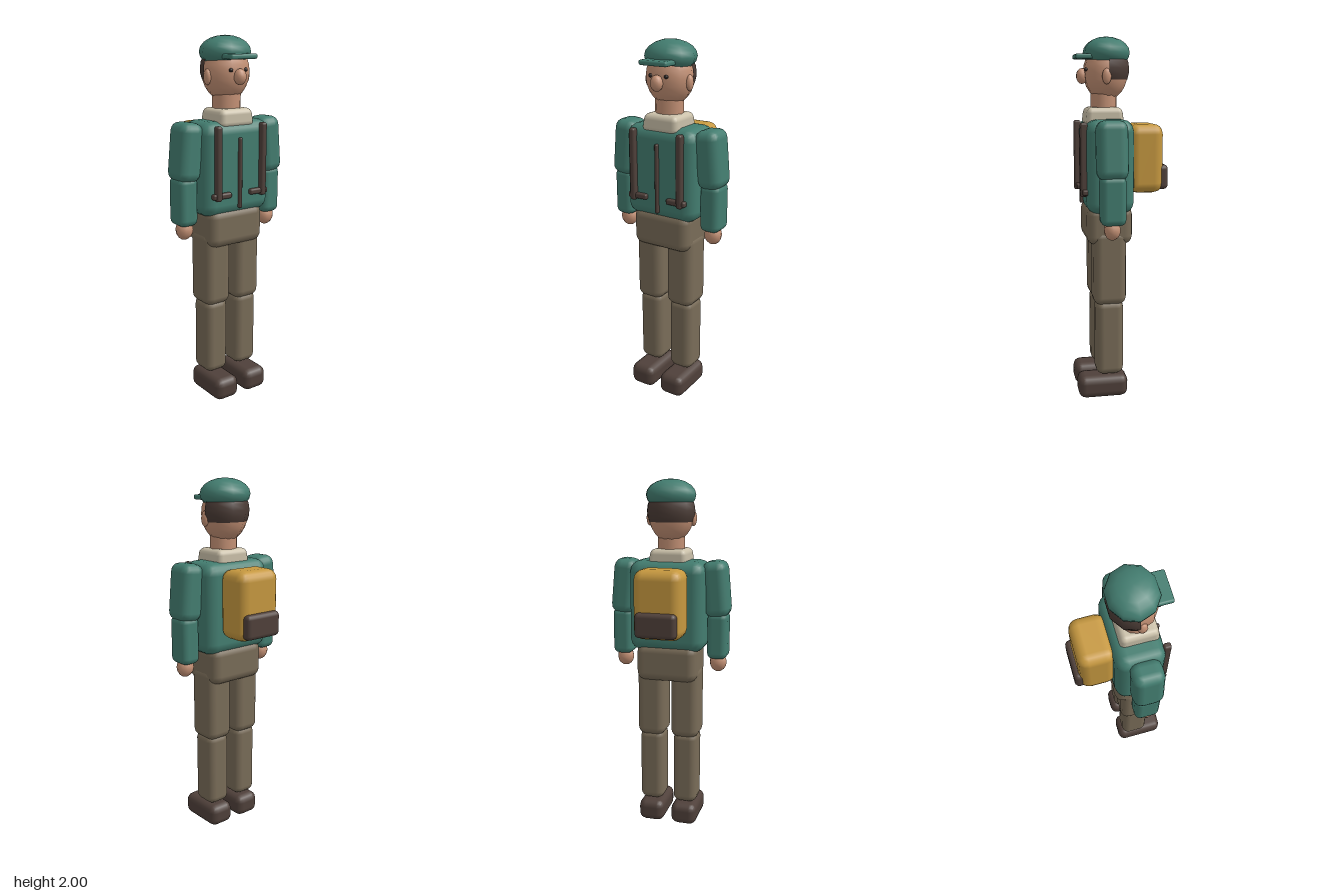
import * as THREE from 'three';
import { RoundedBoxGeometry } from 'three/addons/geometries/RoundedBoxGeometry.js';

function material(name, color) {
  const m = new THREE.MeshStandardMaterial({ color });
  m.name = name;
  return m;
}

export function createModel() {
  const model = new THREE.Group();
  model.name = 'hiker';

  const teal = material('teal cloth', 0x437d70);
  const khaki = material('khaki cloth', 0x796c58);
  const brown = material('dark brown leather', 0x4f403a);
  const skin = material('skin', 0xc49175);
  const mustard = material('mustard canvas', 0xc6983f);
  const cream = material('cream collar', 0xcbc1aa);
  const hairMat = material('dark hair', 0x4a3b35);
  hairMat.side = THREE.DoubleSide;
  const eyeMat = material('eye black', 0x2a2322);

  function add(name, geometry, mat, pos) {
    const mesh = new THREE.Mesh(geometry, mat);
    mesh.name = name;
    mesh.position.set(...pos);
    model.add(mesh);
    return mesh;
  }
  // Soft box given by its extents on each axis
  function block(name, mat, [x0, x1], [y0, y1], [z0, z1], r) {
    const g = new RoundedBoxGeometry(x1 - x0, y1 - y0, z1 - z0, 2, r);
    return add(name, g, mat, [(x0 + x1) / 2, (y0 + y1) / 2, (z0 + z1) / 2]);
  }
  function ellipsoid(name, mat, pos, [rx, ry, rz], seg = 10, rows = 8) {
    return add(name, new THREE.SphereGeometry(1, seg, rows).scale(rx, ry, rz), mat, pos);
  }
  // Narrow a geometry towards its top
  function taper(geometry, amount) {
    geometry.computeBoundingBox();
    const { min, max } = geometry.boundingBox;
    const p = geometry.attributes.position;
    for (let i = 0; i < p.count; i++) {
      const s = 1 - amount * (p.getY(i) - min.y) / (max.y - min.y);
      p.setX(i, p.getX(i) * s);
      p.setZ(i, p.getZ(i) * s);
    }
  }

  // Jacket, trousers seat, collar and neck
  block('torso', teal, [-0.215, 0.215], [1.06, 1.565], [-0.055, 0.205], 0.065);
  block('pelvis', khaki, [-0.175, 0.175], [0.885, 1.1], [-0.05, 0.2], 0.05);
  const collar = block('collar', cream, [-0.112, 0.112], [1.53, 1.627], [-0.015, 0.197], 0.03);
  taper(collar.geometry, 0.1);
  add('neck', new THREE.CylinderGeometry(0.078, 0.078, 0.15, 12).scale(1, 1, 0.92), skin, [0, 1.625, 0.085]);
  block('zip', brown, [-0.01, 0.01], [1.1, 1.48], [0.195, 0.222], 0.008);

  // Limbs and strap details, mirrored
  for (const s of [1, -1]) {
    const side = s > 0 ? 'left' : 'right';
    const span = (a, b) => (s > 0 ? [a, b] : [-b, -a]);

    block(side + 'Boot', brown, span(0.022, 0.175), [0, 0.127], [-0.025, 0.255], 0.042);
    block(side + 'Shin', khaki, span(0.029, 0.171), [0.135, 0.57], [0, 0.155], 0.042);
    block(side + 'Thigh', khaki, span(0.018, 0.18), [0.545, 0.97], [-0.015, 0.168], 0.045);

    const upperArm = block(side + 'UpperArm', teal, span(0.194, 0.332), [1.255, 1.567], [0, 0.166], 0.05);
    upperArm.rotation.z = s * 0.09;
    block(side + 'Forearm', teal, span(0.219, 0.333), [1.02, 1.285], [0.013, 0.15], 0.035);
    ellipsoid(side + 'Hand', skin, [s * 0.276, 0.995, 0.085], [0.049, 0.055, 0.045]);

    block(side + 'Strap', brown, span(0.129, 0.163), [1.155, 1.55], [0.195, 0.235], 0.012);
    block(side + 'StrapTab', brown, span(0.062, 0.18), [1.165, 1.196], [0.195, 0.227], 0.01);

    ellipsoid(side + 'Ear', skin, [s * 0.125, 1.79, 0.087], [0.018, 0.042, 0.025]);
    ellipsoid(side + 'Eye', eyeMat, [s * 0.047, 1.826, 0.187], [0.012, 0.01, 0.01]);
  }

  // Head and face
  ellipsoid('head', skin, [0, 1.813, 0.075], [0.13, 0.153, 0.122], 10, 12);
  ellipsoid('nose', skin, [0, 1.792, 0.203], [0.034, 0.042, 0.032]);

  // Hair wraps the back half of the head below the cap
  const hair = new THREE.SphereGeometry(1, 5, 6, Math.PI, Math.PI, Math.PI * 0.2, Math.PI * 0.43);
  add('hair', hair.scale(0.137, 0.14, 0.128), hairMat, [0, 1.828, 0.073]);

  // Cap with visor
  ellipsoid('capCrown', teal, [0, 1.915, 0.07], [0.142, 0.085, 0.128], 10, 10);
  block('capVisor', teal, [-0.084, 0.084], [1.881, 1.908], [0.1, 0.245], 0.011);

  // Backpack with pocket
  block('backpack', mustard, [-0.135, 0.135], [1.16, 1.537], [-0.23, -0.035], 0.055);
  block('backpackPocket', brown, [-0.115, 0.115], [1.178, 1.315], [-0.258, -0.195], 0.025);

  return model;
}
